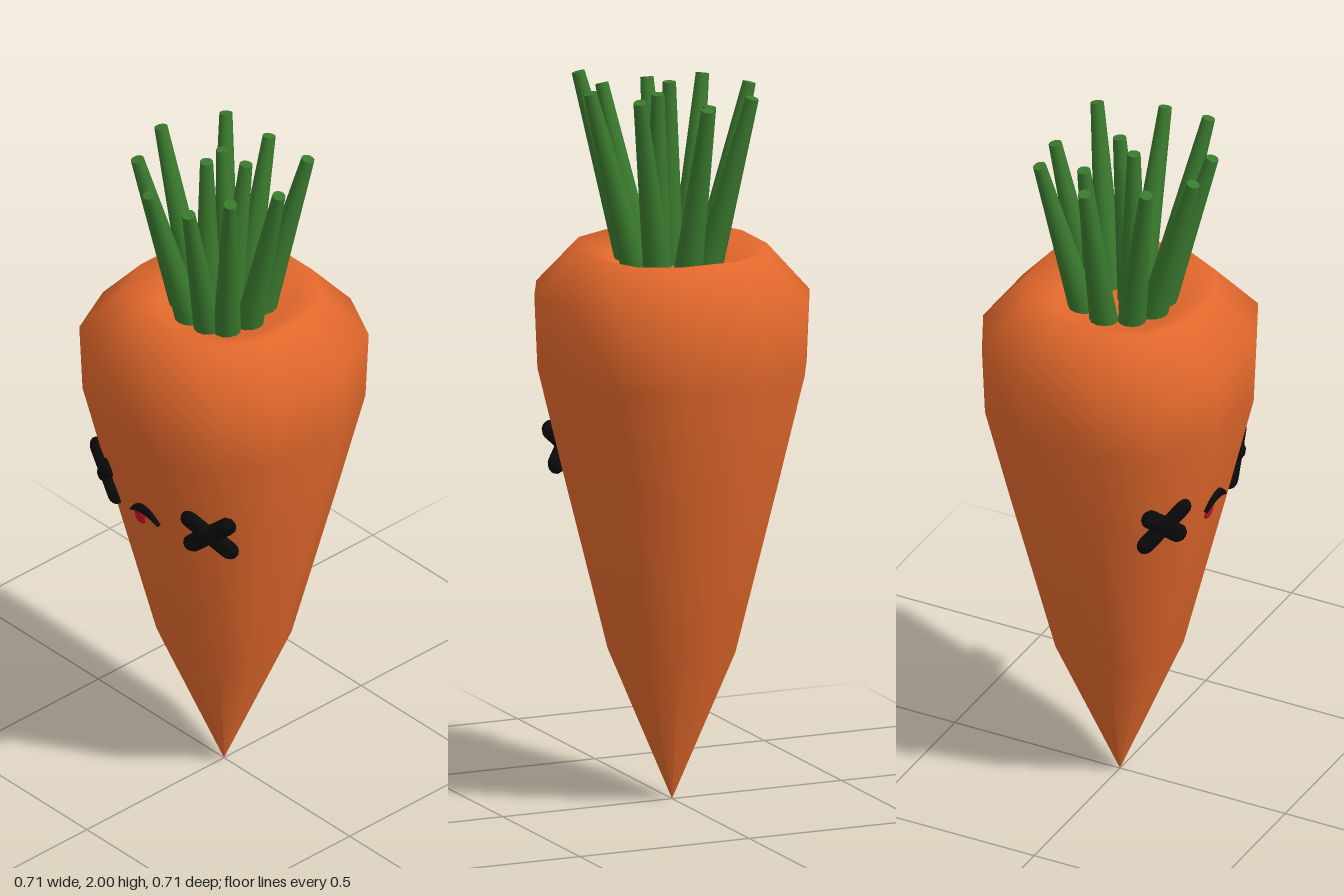
import * as THREE from 'three';

const mat = (color) => new THREE.MeshStandardMaterial({ color });

function add(parent, name, geometry, material) {
  const mesh = new THREE.Mesh(geometry, material);
  mesh.name = name;
  parent.add(mesh);
  return mesh;
}

// Twelve-sided lathe, squared off into a chamfered-box cross-section
function rootGeometry() {
  const profile = [
    [0, 0], [0.165, 0.42], [0.277, 0.9], [0.345, 1.2], [0.353, 1.4],
    [0.243, 1.53], [0.16, 1.49], [0, 1.47],
  ].map(([r, y]) => new THREE.Vector2(r, y));
  const geometry = new THREE.LatheGeometry(profile, 12, Math.PI / 12);
  const p = geometry.attributes.position;
  const square = (c, r) => {
    const a = Math.abs(c) / r;
    return Math.sign(c) * r * (a < 0.4 ? 0.334 : a < 0.8 ? 0.78 : 1);
  };
  for (let i = 0; i < p.count; i++) {
    const x = p.getX(i), z = p.getZ(i), r = Math.hypot(x, z);
    if (r > 1e-5) p.setXYZ(i, square(x, r), p.getY(i), square(z, r));
  }
  return geometry;
}

// Tapered stem between two points
function addStem(parent, base, tip, material) {
  const axis = tip.clone().sub(base);
  const stem = add(parent, 'stem', new THREE.CylinderGeometry(0.018, 0.04, axis.length(), 12), material);
  stem.position.copy(base).add(tip).multiplyScalar(0.5);
  stem.quaternion.setFromUnitVectors(new THREE.Vector3(0, 1, 0), axis.normalize());
}

export function createModel() {
  const model = new THREE.Group();
  model.name = 'carrot';
  const orange = mat(0xe2682c), green = mat(0x3a7a2e), black = mat(0x0a0a0a), red = mat(0xc4122a);

  add(model, 'root', rootGeometry(), orange);

  // Leaf stems: tip x, y, z and base x, z
  const stems = new THREE.Group();
  stems.name = 'stems';
  model.add(stems);
  const outer = [
    [0.235, 1.97, 0.015], [0.203, 1.995, 0.163], [0.105, 1.94, 0.225], [-0.035, 1.94, 0.24],
    [-0.165, 1.955, 0.165], [-0.235, 1.955, 0.015], [-0.165, 1.955, -0.158],
    [-0.022, 1.94, -0.185], [0.165, 1.975, -0.155],
  ].map(([x, y, z]) => [x, y, z, x * 0.42, z * 0.42]);
  const inner = [
    [-0.08, 1.92, -0.068, -0.025, -0.045], [0.055, 1.96, -0.03, 0.035, 0.02], [-0.015, 1.97, 0.05, -0.012, 0.045],
  ];
  for (const [x, y, z, bx, bz] of [...outer, ...inner]) {
    addStem(stems, new THREE.Vector3(bx, 1.45, bz), new THREE.Vector3(x, y, z), green);
  }

  // Crossed eyes, lying on the angled front facets
  for (const side of [-1, 1]) {
    const eye = new THREE.Group();
    eye.name = side > 0 ? 'leftEye' : 'rightEye';
    eye.position.set(side * 0.205, 0.95, 0.24);
    eye.rotation.set(0.22, side * 0.47, 0, 'YXZ');
    for (const turn of [-1, 1]) {
      const bar = add(eye, 'eyeBar', new THREE.CapsuleGeometry(0.027, 0.14, 4, 10), black);
      bar.rotation.z = turn * 0.84;
      bar.scale.z = 0.8;
    }
    model.add(eye);
  }

  // Crescent mouth with the tongue hanging out
  const mouth = new THREE.Group();
  mouth.name = 'mouth';
  mouth.position.set(0, 0.94, 0.283);
  mouth.rotation.x = 0.22;
  model.add(mouth);
  const crescent = new THREE.Shape();
  crescent.moveTo(-0.055, -0.012);
  crescent.quadraticCurveTo(0, 0.066, 0.055, -0.012);
  crescent.quadraticCurveTo(0, 0.02, -0.055, -0.012);
  const lip = add(mouth, 'lip', new THREE.ExtrudeGeometry(crescent, {
    depth: 0.014, curveSegments: 10, bevelThickness: 0.003, bevelSize: 0.002, bevelSegments: 2,
  }), black);
  lip.position.z = -0.002;
  const tongue = add(mouth, 'tongue', new THREE.CapsuleGeometry(0.019, 0.022, 5, 12), red);
  tongue.position.set(-0.025, -0.022, 0.004);
  tongue.rotation.z = -0.08;
  tongue.scale.z = 0.5;

  return model;
}
